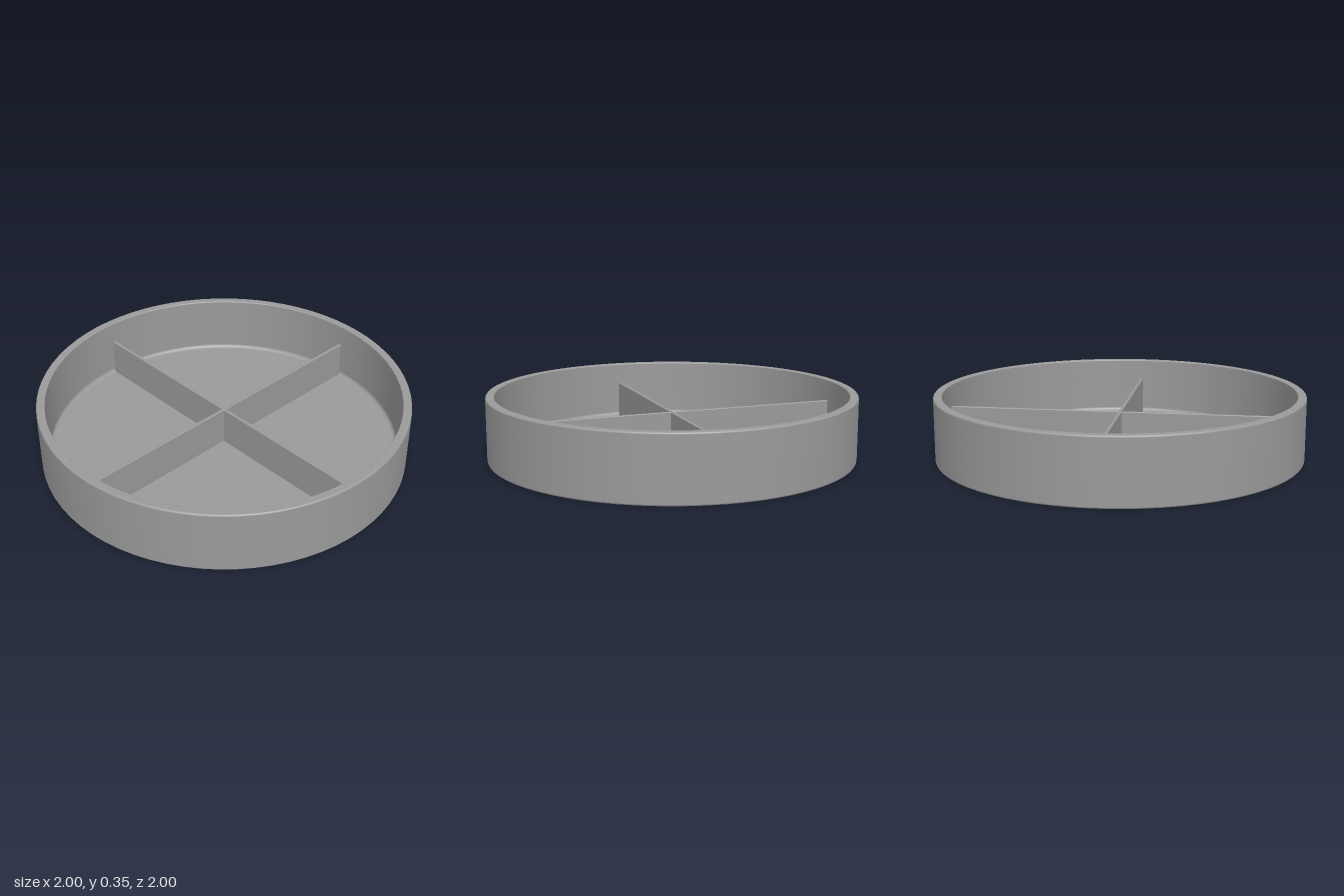
import * as THREE from 'three';
import { RoundedBoxGeometry } from 'three/addons/geometries/RoundedBoxGeometry.js';

const HEIGHT = 0.35, FLOOR = 0.027, OUTER = 1, INNER = 0.953;

// Points along a quarter-round corner from angle a0 to a1 (degrees)
function corner(cx, cy, r, a0, a1, steps = 5) {
  return Array.from({ length: steps + 1 }, (_, i) => {
    const a = THREE.MathUtils.degToRad(a0 + ((a1 - a0) * i) / steps);
    return new THREE.Vector2(cx + r * Math.cos(a), cy + r * Math.sin(a));
  });
}

export function createModel() {
  const group = new THREE.Group();
  group.name = 'dividedTray';
  const material = new THREE.MeshStandardMaterial({ color: 0x9a9a9a });

  // Round dish: underside, outer wall, rim, inner wall and floor in one profile
  const edge = 0.01, lip = 0.006, fillet = 0.022;
  const profile = [
    new THREE.Vector2(0, 0),
    new THREE.Vector2(OUTER - 0.03, 0),
    ...corner(OUTER - edge, edge, edge, -90, 0),
    ...corner(OUTER - edge, HEIGHT - edge, edge, 0, 90),
    ...corner(INNER + lip, HEIGHT - lip, lip, 90, 180),
    ...corner(INNER - fillet, FLOOR + fillet, fillet, 0, -90),
    new THREE.Vector2(INNER - 0.07, FLOOR),
    new THREE.Vector2(0, FLOOR),
  ];
  const dish = new THREE.Mesh(new THREE.LatheGeometry(profile, 72), material);
  dish.name = 'dish';
  group.add(dish);

  // Two crossed divider walls standing on the floor
  const bottom = 0.01, top = 0.235;
  const dividerGeometry = new RoundedBoxGeometry(1.895, top - bottom, 0.018, 2, 0.004);
  ['crossDivider', 'lengthDivider'].forEach((name, i) => {
    const divider = new THREE.Mesh(dividerGeometry, material);
    divider.name = name;
    divider.position.y = (top + bottom) / 2;
    divider.rotation.y = (i * Math.PI) / 2;
    group.add(divider);
  });

  return group;
}
